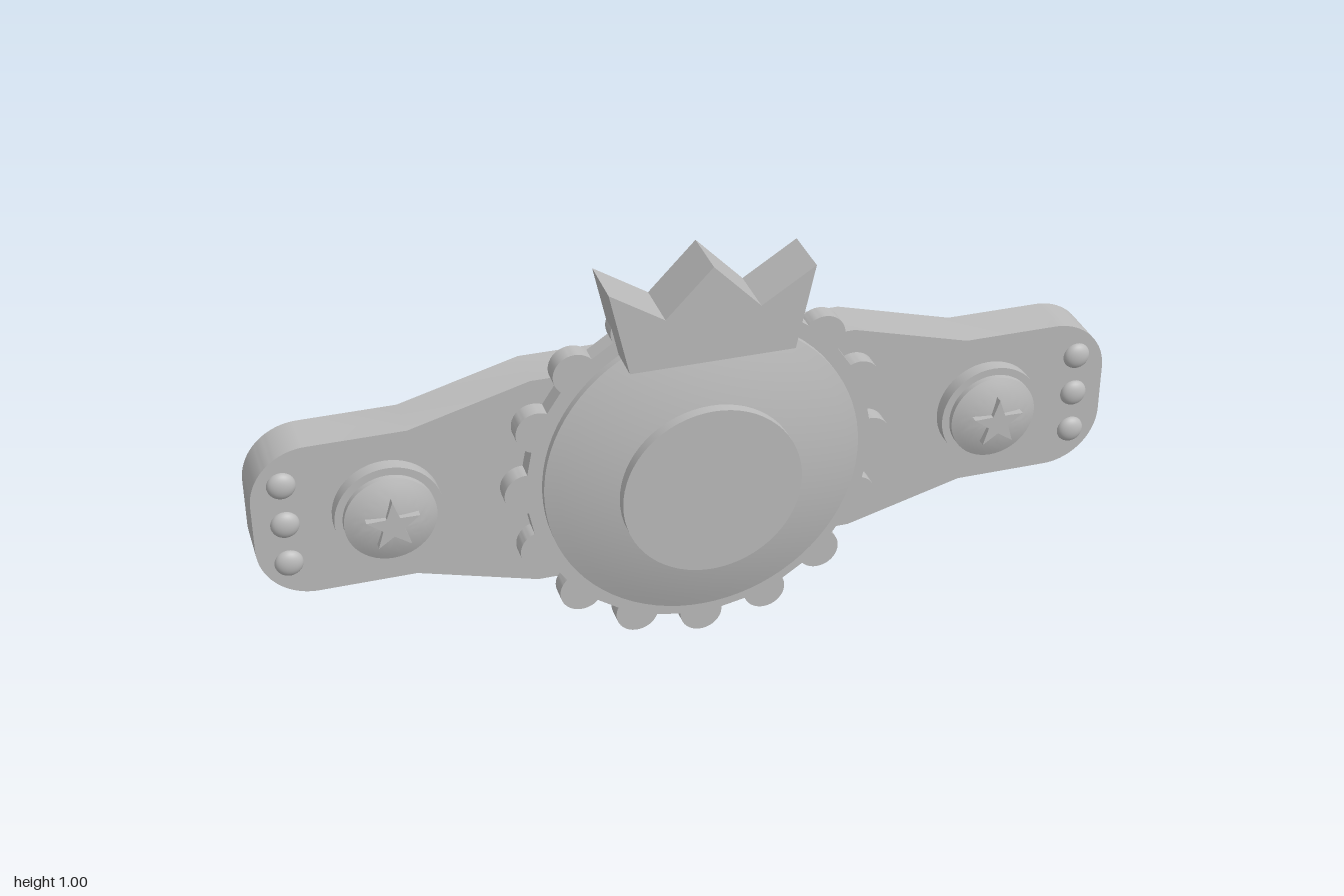
import * as THREE from 'three';
import { toCreasedNormals } from 'three/addons/utils/BufferGeometryUtils.js';

const MID = 0.453; // height of the belt's centre line
const BACK = -0.01; // front face of the strap, where the plates sit

export function createModel() {
  const model = new THREE.Group();
  model.name = 'championBelt';
  const grey = new THREE.MeshStandardMaterial({ color: 0xbbbbbb });
  grey.name = 'plain grey';

  function add(name, geometry, x = 0, y = 0, z = 0, parent = model) {
    const mesh = new THREE.Mesh(geometry, grey);
    mesh.name = name;
    mesh.position.set(x, y, z);
    parent.add(mesh);
    return mesh;
  }
  // Extrude a shape between two depths
  function plate(shape, z0, z1) {
    const g = new THREE.ExtrudeGeometry(shape, { depth: z1 - z0, bevelEnabled: false, curveSegments: 12 });
    return toCreasedNormals(g.translate(0, 0, z0), 0.5);
  }
  // Turn a [radius, depth] profile around the z axis
  function turned(profile, segments = 64) {
    const g = new THREE.LatheGeometry(profile.map(([r, z]) => new THREE.Vector2(r, z)), segments);
    return toCreasedNormals(g.rotateX(Math.PI / 2), 0.5);
  }
  // Rim followed by a shallow parabolic cap
  function domeProfile(radius, base, rim, apex, steps) {
    const points = [[radius, base]];
    for (let i = 0; i <= steps; i++) {
      const r = 1 - i / steps;
      points.push([radius * r, rim + (apex - rim) * (1 - r * r)]);
    }
    return points;
  }

  // Strap: rounded ends, widening behind the main plate
  const end = 0.187, wide = 0.262, corner = 0.13;
  const strap = new THREE.Shape();
  strap.moveTo(-0.375, -wide);
  strap.lineTo(0.375, -wide);
  strap.lineTo(0.65, -end);
  strap.absarc(1 - corner, -end + corner, corner, -Math.PI / 2, 0);
  strap.absarc(1 - corner, end - corner, corner, 0, Math.PI / 2);
  strap.lineTo(0.65, end);
  strap.lineTo(0.375, wide);
  strap.lineTo(-0.375, wide);
  strap.lineTo(-0.65, end);
  strap.absarc(-1 + corner, end - corner, corner, Math.PI / 2, Math.PI);
  strap.absarc(-1 + corner, -end + corner, corner, Math.PI, Math.PI * 1.5);
  strap.lineTo(-0.65, -end);
  strap.closePath();
  add('strap', plate(strap, -0.123, BACK), 0, MID);

  // Scalloped backing plate with sixteen round lobes
  const ring = 0.403, lobe = 0.05;
  const spread = Math.PI / 2 + Math.asin(lobe / 2 / ring);
  const scallop = new THREE.Shape();
  for (let i = 0; i < 16; i++) {
    const a = (i / 16) * Math.PI * 2;
    scallop.absarc(ring * Math.cos(a), ring * Math.sin(a), lobe, a - spread, a + spread);
  }
  scallop.closePath();
  add('scallopedPlate', plate(scallop, BACK, 0.033), 0, MID);

  // Domed main plate and its raised medallion
  add('mainDome', turned(domeProfile(0.368, 0.03, 0.051, 0.116, 12), 80), 0, MID);
  add('medallion', turned([[0.208, 0.06], [0.208, 0.123], [0, 0.123]]), 0, 0.439);

  // Crown
  const crown = new THREE.Shape([
    [-0.187, 0.772], [0.187, 0.772], [0.23, 0.968], [0.107, 0.89],
    [0, 1], [-0.107, 0.89], [-0.23, 0.968],
  ].map(([x, y]) => new THREE.Vector2(x, y)));
  add('crown', plate(crown, BACK, 0.12));

  // Five-pointed star
  const star = new THREE.Shape();
  for (let i = 0; i < 10; i++) {
    const r = i % 2 ? 0.025 : 0.062;
    const a = Math.PI / 2 + (i * Math.PI) / 5;
    if (i) star.lineTo(r * Math.cos(a), r * Math.sin(a));
    else star.moveTo(r * Math.cos(a), r * Math.sin(a));
  }
  star.closePath();

  // Side medals and end rivets, mirrored
  for (const side of [-1, 1]) {
    const medal = new THREE.Group();
    medal.name = side > 0 ? 'leftMedal' : 'rightMedal';
    medal.position.set(side * 0.707, MID, 0);
    model.add(medal);
    add('medalBase', turned([[0.121, BACK], [0.121, 0.022], [0, 0.022]], 48), 0, 0, 0, medal);
    add('medalDome', turned(domeProfile(0.103, 0.02, 0.036, 0.06, 8), 48), 0, 0, 0, medal);
    add('medalStar', plate(star, 0.045, 0.07), 0, 0, 0, medal);

    for (const row of [-1, 0, 1]) {
      const rivet = add('rivet', new THREE.SphereGeometry(0.032, 24, 16), side * 0.93, MID + row * 0.1, BACK);
      rivet.scale.z = 0.6;
    }
  }
  return model;
}
